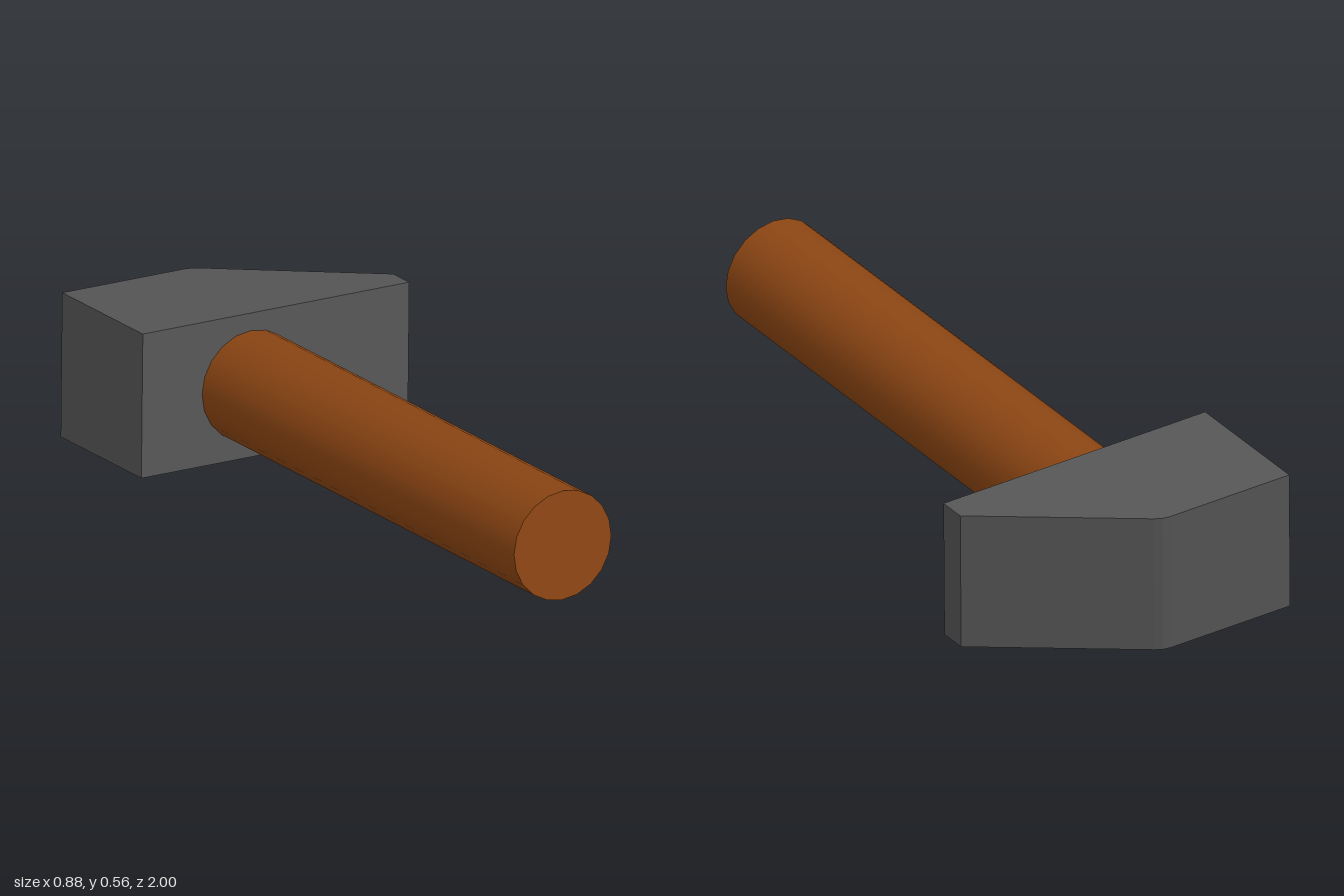
import * as THREE from 'three';

export function createModel() {
  const steel = new THREE.MeshStandardMaterial({ color: 0x555555 });
  steel.name = 'darkSteel';
  const wood = new THREE.MeshStandardMaterial({ color: 0x8b4513 });
  wood.name = 'brownWood';

  const hammer = new THREE.Group();
  hammer.name = 'hammer';

  // Head: wedge outline (across, depth) extruded through its height
  const height = 0.407;
  const outline = new THREE.Shape([
    [-0.344, 0], [0.5, 0], [0.5, 0.08], [0.083, 0.387], [0.062, 0.398], [0.042, 0.402], [-0.344, 0.402],
  ].map(([x, d]) => new THREE.Vector2(x, d)));
  const headGeo = new THREE.ExtrudeGeometry(outline, { depth: height, bevelEnabled: false });
  headGeo.translate(0, 0, -height / 2).rotateX(-Math.PI / 2);
  const head = new THREE.Mesh(headGeo, steel);
  head.name = 'head';

  // Handle: round shaft running forward, its rear end sunk into the head
  const front = 1.554, rear = -0.05;
  const handleGeo = new THREE.CylinderGeometry(0.154, 0.154, front - rear, 20);
  handleGeo.rotateX(Math.PI / 2).translate(0, 0, (front + rear) / 2);
  const handle = new THREE.Mesh(handleGeo, wood);
  handle.name = 'handle';

  hammer.add(head, handle);

  // Resting pose: tipped slightly so the handle end rises
  const zAxis = new THREE.Vector3(-0.052, 0.1, 0.993).normalize();
  const yAxis = zAxis.clone().cross(new THREE.Vector3(0.995, -0.075, 0.059)).normalize();
  const xAxis = yAxis.clone().cross(zAxis);
  hammer.quaternion.setFromRotationMatrix(new THREE.Matrix4().makeBasis(xAxis, yAxis, zAxis));
  hammer.position.set(-0.079, 0.2475, -0.56);

  const model = new THREE.Group();
  model.add(hammer);
  return model;
}
